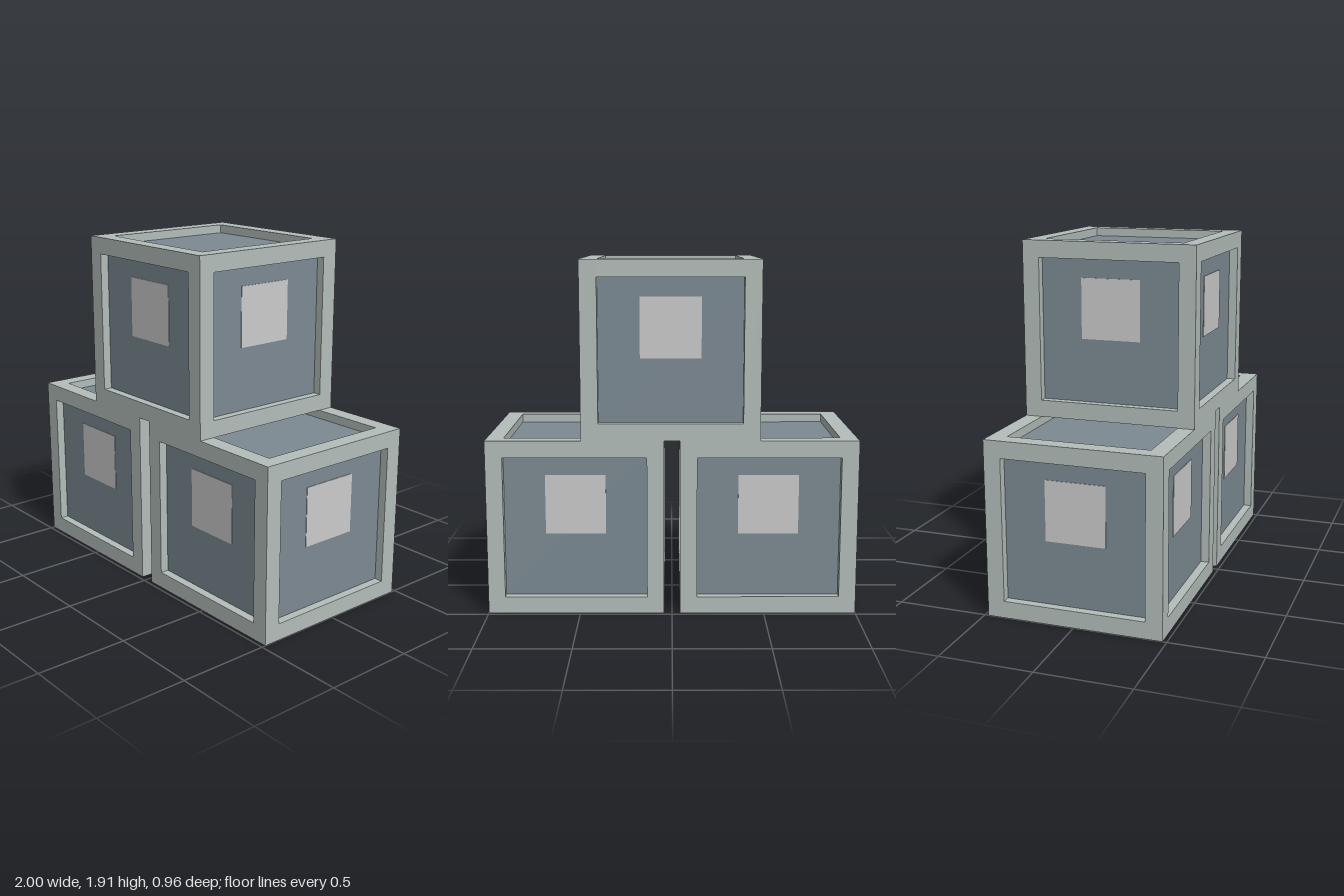
import * as THREE from 'three';

const SIZE = 0.957;    // crate edge
const BAR = 0.092;     // frame beam thickness
const RECESS = 0.047;  // panel depth below the frame
const LABEL = 0.327;   // square label edge

const frameMaterial = new THREE.MeshStandardMaterial({ color: 0xb4beba });
const panelMaterial = new THREE.MeshStandardMaterial({ color: 0x7c8a93 });
const labelMaterial = new THREE.MeshStandardMaterial({ color: 0xcccccc });

function addBox(parent, name, material, size, position) {
  const mesh = new THREE.Mesh(new THREE.BoxGeometry(...size), material);
  mesh.name = name;
  mesh.position.set(...position);
  parent.add(mesh);
}

function createCrate(name) {
  const crate = new THREE.Group();
  crate.name = name;
  const mid = SIZE / 2;
  const offset = mid - BAR / 2;
  const span = SIZE - 2 * BAR;

  // Recessed panels, as one inner box
  const inner = SIZE - 2 * RECESS;
  addBox(crate, 'panels', panelMaterial, [inner, inner, inner], [0, mid, 0]);

  // Twelve frame beams: full-height posts with rails between them
  for (const a of [-offset, offset]) {
    for (const b of [-offset, offset]) {
      addBox(crate, 'cornerPost', frameMaterial, [BAR, SIZE, BAR], [a, mid, b]);
      addBox(crate, 'crossRail', frameMaterial, [span, BAR, BAR], [0, mid + a, b]);
      addBox(crate, 'sideRail', frameMaterial, [BAR, BAR, span], [a, mid + b, 0]);
    }
  }

  // A thin label on each of the four upright sides
  for (let i = 0; i < 4; i++) {
    const side = new THREE.Group();
    side.name = 'labelSide';
    side.rotation.y = i * Math.PI / 2;
    addBox(side, 'label', labelMaterial, [LABEL, LABEL, 0.006], [0, 0.599, inner / 2]);
    crate.add(side);
  }
  return crate;
}

export function createModel() {
  const model = new THREE.Group();
  model.name = 'crateStack';

  // Two crates side by side with a third on top
  const places = [
    ['rightCrate', -0.5215, 0],
    ['leftCrate', 0.5215, 0],
    ['topCrate', 0.007, SIZE],
  ];
  for (const [name, x, y] of places) {
    const crate = createCrate(name);
    crate.position.set(x, y, 0);
    model.add(crate);
  }
  return model;
}
